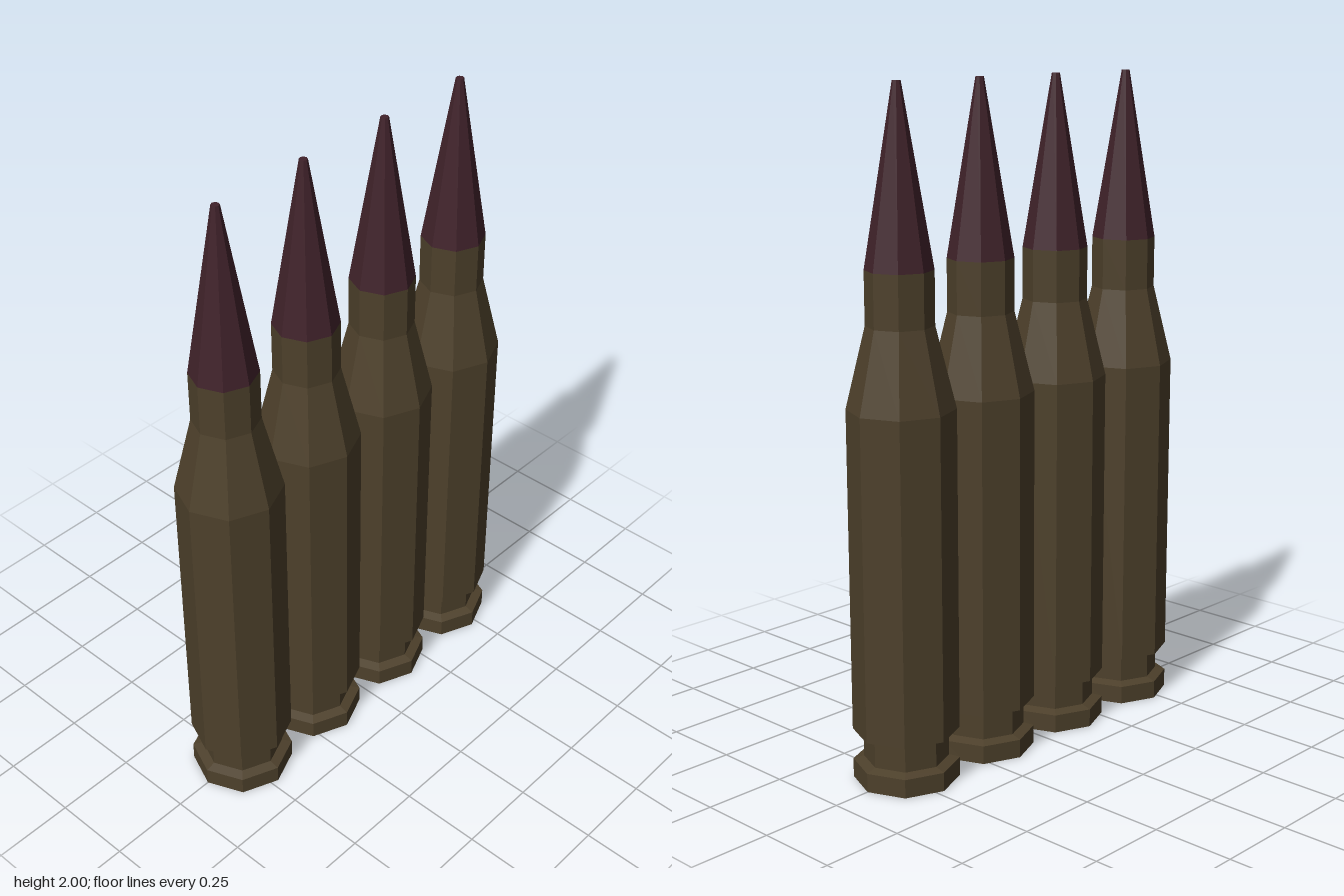
import * as THREE from 'three';

const SIDES = 8;
const SPACING = 0.318;

// Eight-sided turned part from [radius, height] pairs, bottom to top
function turned(name, profile, material) {
  const points = profile.map(([r, y]) => new THREE.Vector2(r, y));
  const mesh = new THREE.Mesh(new THREE.LatheGeometry(points, SIDES), material);
  mesh.name = name;
  return mesh;
}

export function createModel() {
  const brass = new THREE.MeshStandardMaterial({ color: 0x4d402b, flatShading: true });
  const copper = new THREE.MeshStandardMaterial({ color: 0x40222a, flatShading: true });

  const model = new THREE.Group();
  model.name = 'cartridgeRow';

  for (let i = 0; i < 4; i++) {
    const cartridge = new THREE.Group();
    cartridge.name = `cartridge${i + 1}`;

    // Case: base, rim, extractor groove, body, shoulder, neck
    cartridge.add(turned('case', [
      [0, 0], [0.155, 0], [0.155, 0.056], [0.124, 0.065],
      [0.124, 0.141], [0.155, 0.15], [0.155, 1.1],
      [0.097, 1.335], [0.097, 1.49],
    ], brass));

    // Pointed bullet with a small flat tip
    cartridge.add(turned('bullet', [
      [0.097, 1.49], [0.012, 2], [0, 2],
    ], copper));

    cartridge.position.z = (i - 1.5) * SPACING;
    model.add(cartridge);
  }
  return model;
}
